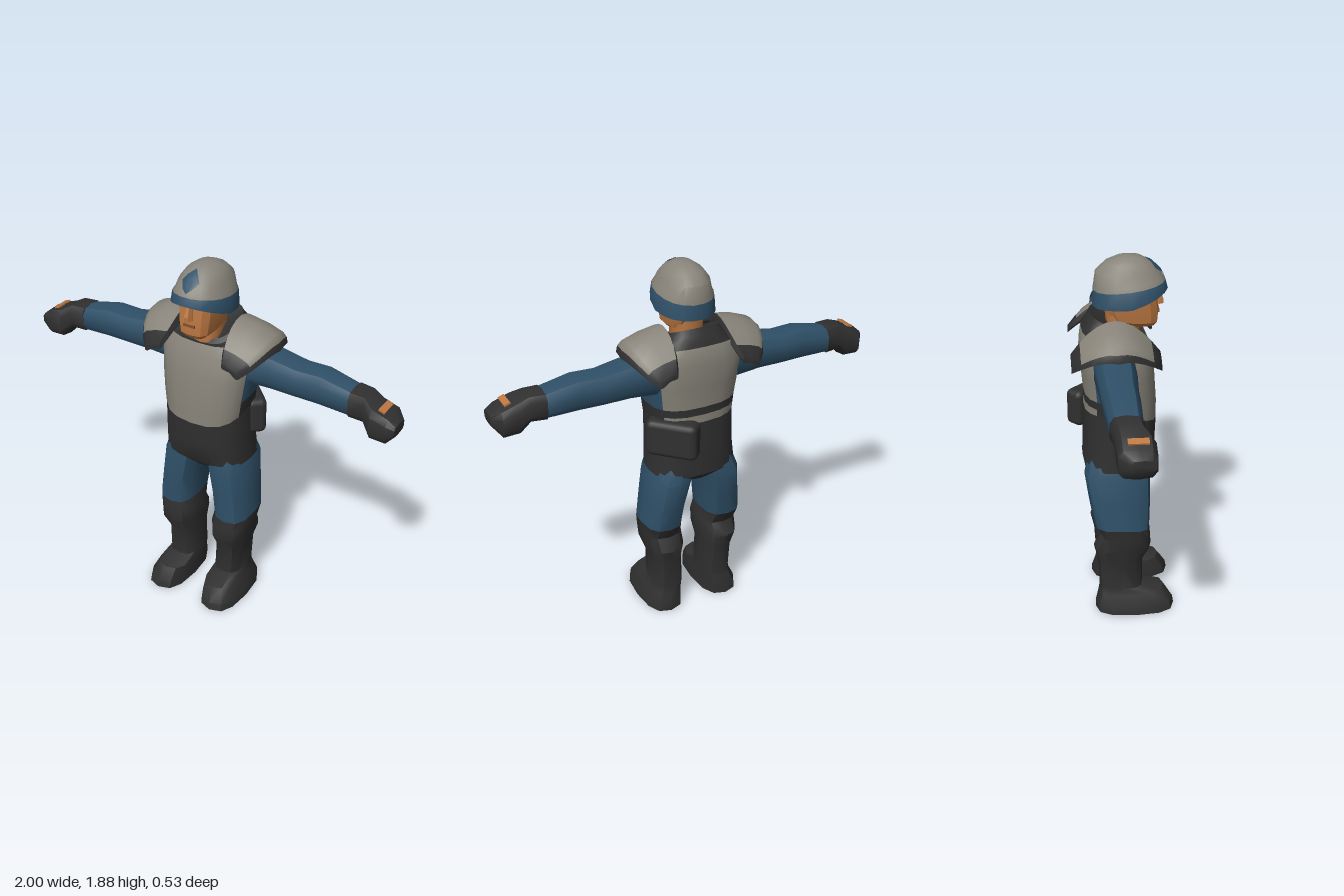
import * as THREE from 'three';
import { toCreasedNormals } from 'three/addons/utils/BufferGeometryUtils.js';
import { RoundedBoxGeometry } from 'three/addons/geometries/RoundedBoxGeometry.js';

const paint = (name, color) => Object.assign(new THREE.MeshStandardMaterial({ color }), { name });

export function createModel() {
  const model = new THREE.Group();
  model.name = 'soldier';
  const armour = paint('armour grey', 0x88847a);
  const cloth = paint('cloth blue', 0x2f5068);
  const dark = paint('dark gear', 0x303030);
  const skin = paint('skin', 0xbd7843);
  const lips = paint('mouth brown', 0x86502c);

  // Closed skin over rings of points, capped at both ends; pick(row, segment) gives the material
  function skinMesh(name, rows, pick, flip, crease = 0.7) {
    const n = rows[0].length, pos = [], buckets = new Map();
    rows.forEach(r => r.forEach(p => pos.push(p[0], p[1], p[2])));
    const tri = (m, a, b, c) => {
      if (!buckets.has(m)) buckets.set(m, []);
      buckets.get(m).push(...(flip ? [a, c, b] : [a, b, c]));
    };
    for (let j = 0; j < rows.length - 1; j++) for (let i = 0; i < n; i++) {
      const k = (i + 1) % n, a = j * n + i, b = j * n + k, m = pick(j, i);
      tri(m, a, a + n, b);
      tri(m, b, a + n, b + n);
    }
    [0, rows.length - 1].forEach((j, end) => {
      const c = pos.length / 3;
      for (let q = 0; q < 3; q++) pos.push(rows[j].reduce((t, p) => t + p[q], 0) / n);
      for (let i = 0; i < n; i++) {
        const a = j * n + i, b = j * n + (i + 1) % n, m = pick(end ? j : -1, i);
        if (end) tri(m, a, c, b); else tri(m, a, b, c);
      }
    });
    let geo = new THREE.BufferGeometry();
    geo.setAttribute('position', new THREE.Float32BufferAttribute(pos, 3));
    const index = [], mats = [...buckets.keys()];
    mats.forEach((m, g) => {
      geo.addGroup(index.length, buckets.get(m).length, g);
      index.push(...buckets.get(m));
    });
    geo.setIndex(index);
    geo = toCreasedNormals(geo, crease);
    const mesh = new THREE.Mesh(geo, mats.length > 1 ? mats : mats[0]);
    mesh.name = name;
    model.add(mesh);
    return mesh;
  }

  // Upright loft: rings are [y, cx, cz, halfX, halfZ, front lift, back lift]
  const bend = (v, e) => Math.sign(v) * Math.abs(v) ** e;
  function loft(name, rings, pick, { n = 12, e = 0.75, side = 1, crease } = {}) {
    const rows = rings.map(([y, cx, cz, hx, hz, f = 0, b = 0]) => Array.from({ length: n }, (_, i) => {
      const a = i / n * Math.PI * 2, c = Math.cos(a), s = Math.sin(a);
      return [side * (cx + hx * bend(c, e)), y + (s > 0 ? f * s : -b * s), cz + hz * bend(s, e)];
    }));
    return skinMesh(name, rows, pick.isMaterial ? () => pick : pick, side < 0, crease);
  }

  // Sideways loft: rings are [x, cy, cz, halfY, halfZ]
  function limb(name, rings, pick, side, n = 10, e = 0.75) {
    const rows = rings.map(([x, cy, cz, hy, hz]) => Array.from({ length: n }, (_, i) => {
      const a = i / n * Math.PI * 2;
      return [side * x, cy + hy * bend(Math.cos(a), e), cz + hz * bend(Math.sin(a), e)];
    }));
    return skinMesh(name, rows, pick.isMaterial ? () => pick : pick, side > 0);
  }

  // Trunk
  loft('waist', [
    [0.79, 0, -0.015, 0.09, 0.13], [0.835, 0, -0.015, 0.228, 0.172], [0.95, 0, -0.005, 0.218, 0.18],
    [1.14, 0, 0, 0.215, 0.18, -0.07, -0.01],
  ], dark, { n: 20 });
  const N = 20;
  loft('chest armour', [
    [1.14, 0, 0, 0.215, 0.18, -0.07, -0.01], [1.17, 0, 0, 0.22, 0.179, -0.05],
    [1.21, 0, 0, 0.225, 0.179, -0.04], [1.32, 0, -0.01, 0.24, 0.178],
    [1.44, 0, -0.025, 0.25, 0.172], [1.51, 0, -0.03, 0.21, 0.155, -0.02, 0.02],
    [1.54, 0, -0.03, 0.15, 0.125, -0.06, 0.04], [1.57, 0, -0.03, 0.135, 0.11, -0.07, 0.04],
    [1.55, 0, -0.02, 0.1, 0.085, -0.07, 0.03],
  ], (j, i) => {
    const s = Math.sin((i + 0.5) / N * Math.PI * 2);
    if (j < 0 || j > 4) return dark;
    if (j === 1 && s < 0) return dark;
    if (s > -0.6 && s < 0.3) return j < 2 ? dark : cloth;
    return armour;
  }, { n: N });

  // Hip pouch
  const pouch = new THREE.Mesh(new RoundedBoxGeometry(0.26, 0.19, 0.1, 2, 0.03), dark);
  pouch.name = 'hip pouch';
  pouch.position.set(0.15, 1.06, -0.14);
  pouch.rotation.y = -Math.PI / 4;
  model.add(pouch);

  // Neck, head and nose
  loft('neck', [[1.42, 0, 0.02, 0.06, 0.07], [1.5, 0, 0.02, 0.07, 0.08], [1.62, 0, 0.01, 0.075, 0.08]], skin);
  loft('head', [
    [1.535, 0, 0.1, 0.055, 0.07], [1.56, 0, 0.07, 0.08, 0.115, -0.005, 0.02],
    [1.62, 0, 0.058, 0.09, 0.13], [1.68, 0, 0.05, 0.094, 0.13], [1.76, 0, 0.05, 0.095, 0.13],
  ], skin, { e: 0.6, crease: 0.4 });
  loft('nose', [
    [1.635, 0, 0.19, 0.02, 0.022], [1.655, 0, 0.19, 0.018, 0.024], [1.72, 0, 0.175, 0.01, 0.015],
  ], skin, { n: 6, crease: 0.3 });
  const mouth = new THREE.Mesh(new THREE.BoxGeometry(0.06, 0.012, 0.008), lips);
  mouth.name = 'mouth';
  mouth.position.set(0, 1.605, 0.187);
  model.add(mouth);

  // Helmet with a sloping coloured band
  const helmet = loft('helmet', [
    [1.67, 0, 0.05, 0.12, 0.15, 0.06, -0.01], [1.65, 0, 0.05, 0.143, 0.18, 0.07, -0.01],
    [1.735, 0, 0.047, 0.136, 0.172, 0.025, -0.02], [1.75, 0, 0.043, 0.125, 0.165, 0.025, -0.015],
    [1.8, 0, 0.04, 0.112, 0.153], [1.842, 0, 0.04, 0.083, 0.11], [1.868, 0, 0.045, 0.045, 0.06],
    [1.875, 0, 0.045, 0.015, 0.02],
  ], j => (j < 1 ? dark : j === 1 ? cloth : armour), { n: 18, e: 0.9 });

  // Four-pointed badge laid on the helmet front
  const badgeGeo = new THREE.RingGeometry(0.001, 1, 8, 4);
  const ray = new THREE.Raycaster(), p = badgeGeo.attributes.position;
  for (let i = 0; i < p.count; i++) {
    const tip = Math.max(Math.abs(p.getX(i)), Math.abs(p.getY(i))) / Math.hypot(p.getX(i), p.getY(i)) > 0.9;
    const r = tip ? 0.045 : 0.036, x = p.getX(i) * r, y = 1.818 + p.getY(i) * r;
    ray.set(new THREE.Vector3(x, y, 1), new THREE.Vector3(0, 0, -1));
    const hit = ray.intersectObject(helmet)[0];
    p.setXYZ(i, x, y + 0.002, (hit ? hit.point.z : 0.15) + 0.005);
  }
  badgeGeo.computeVertexNormals();
  const badgeCloth = paint('badge blue', 0x2f5068);
  badgeCloth.side = THREE.DoubleSide;
  const badge = new THREE.Mesh(badgeGeo, badgeCloth);
  badge.name = 'helmet badge';
  model.add(badge);

  for (const side of [1, -1]) {
    const tag = side > 0 ? 'left' : 'right';

    // Trouser leg and boot
    loft(tag + ' trouser leg', [
      [0.88, 0.105, -0.015, 0.103, 0.15], [0.8, 0.13, -0.02, 0.105, 0.165],
      [0.66, 0.152, -0.01, 0.098, 0.155], [0.52, 0.167, 0, 0.1, 0.14, -0.02, 0],
    ].reverse(), cloth, { side });
    loft(tag + ' boot', [
      [0, 0.165, 0.068, 0.105, 0.207], [0.04, 0.163, 0.065, 0.103, 0.203],
      [0.1, 0.148, 0.05, 0.088, 0.172, 0.01], [0.135, 0.142, -0.003, 0.08, 0.112],
      [0.3, 0.148, -0.008, 0.079, 0.117], [0.38, 0.155, 0.003, 0.098, 0.147],
      [0.45, 0.158, 0.02, 0.101, 0.125], [0.52, 0.167, 0, 0.1, 0.14, -0.02, 0],
    ], dark, { side });

    // Sleeve, gloved fist and bare knuckles
    limb(tag + ' sleeve', [
      [0.18, 1.38, -0.04, 0.1, 0.1], [0.35, 1.382, -0.035, 0.09, 0.095], [0.48, 1.37, -0.035, 0.08, 0.088],
      [0.6, 1.373, -0.033, 0.083, 0.084], [0.76, 1.353, -0.028, 0.069, 0.074],
    ], cloth, side);
    limb(tag + ' glove', [
      [0.755, 1.353, -0.028, 0.071, 0.076], [0.83, 1.353, -0.02, 0.07, 0.071], [0.88, 1.315, 0, 0.084, 0.086],
      [0.96, 1.3, 0, 0.071, 0.085], [1, 1.31, 0.02, 0.028, 0.055],
    ], (j, i) => (j === 2 && (i === 4 || i === 5) ? skin : dark), side, 10, 0.6);
    const knuckles = new THREE.Mesh(new THREE.BoxGeometry(0.032, 0.009, 0.09), skin);
    knuckles.name = tag + ' knuckles';
    knuckles.position.set(side * 0.922, 1.386, 0.005);
    knuckles.rotation.z = -side * 0.34;
    model.add(knuckles);

    // Arched shoulder pad with a dark rim
    const rows = [];
    for (let k = 0; k <= 10; k++) {
      const u = k / 5 - 1, w = Math.abs(u), z = -0.03 + 0.21 * u;
      const top = 1.605 - 0.145 * w ** 1.8, fall = 1 - 0.5 * w;
      const x0 = 0.13 + 0.04 * w ** 3, span = 0.23 * Math.sqrt(1 - (0.82 * u) ** 2) - 0.04 * w ** 3;
      const profile = [[0.04, -0.065], [0, -0.045], [0.06, 0], [0.48, -0.02], [0.86, -0.055],
        [0.97, -0.085], [1, -0.125], [0.88, -0.13], [0.45, -0.075]];
      rows.push(profile.map(([v, d]) => [side * (x0 + span * v), top + d * fall, z]));
    }
    skinMesh(tag + ' shoulder pad', rows,
      (j, i) => (j > 0 && j < 9 && i >= 2 && i <= 4 ? armour : dark), side < 0, 0.8);
  }
  return model;
}
